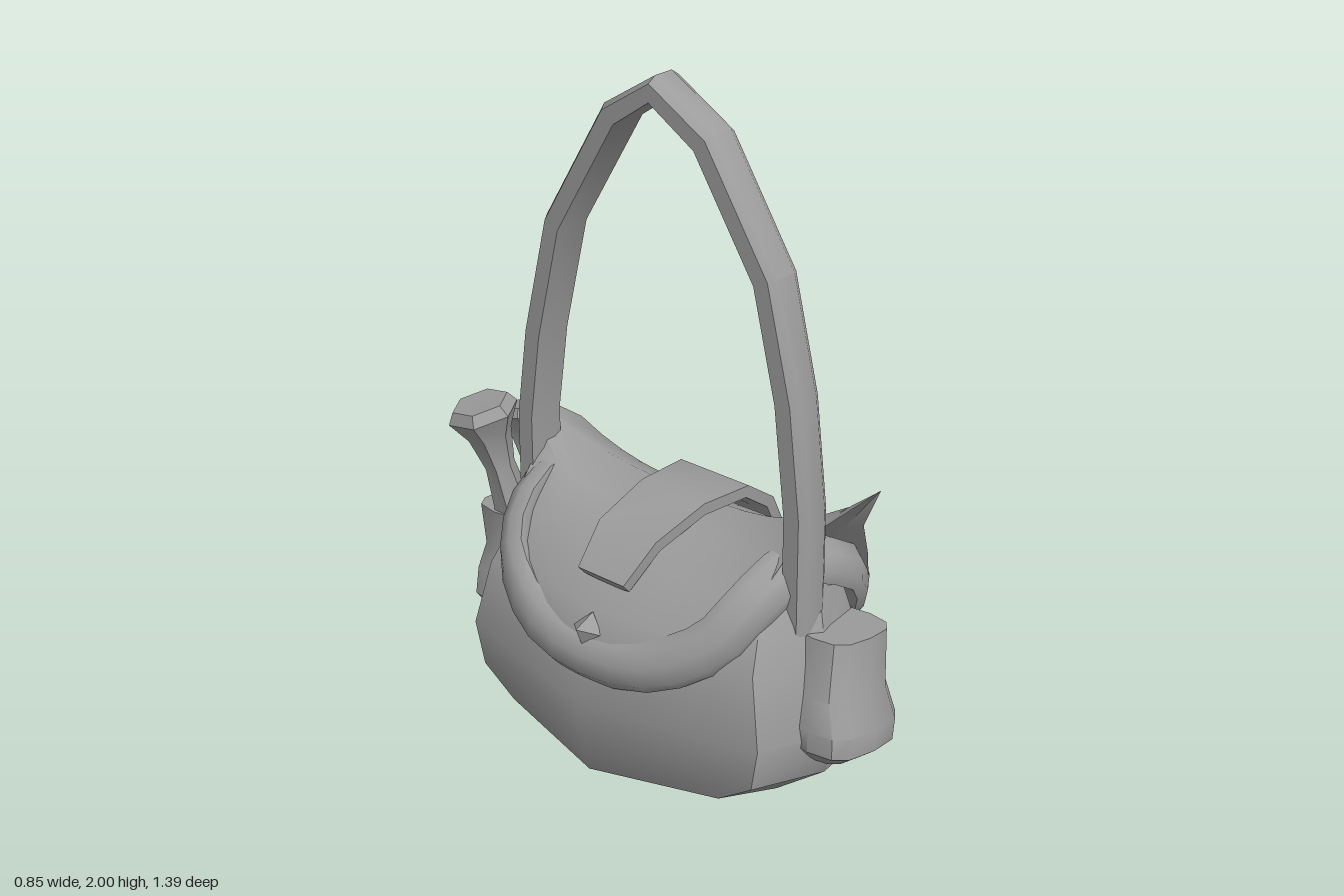
import * as THREE from 'three';
import { toCreasedNormals } from 'three/addons/utils/BufferGeometryUtils.js';

const grey = new THREE.MeshStandardMaterial({ color: 0x9c9c9c, side: THREE.DoubleSide });
grey.name = 'plain grey';

// Skin a list of equal-length cross-sections, optionally closed and capped
function loft(rings, closed = true, crease = 0.7) {
  const n = rings[0].length, pos = rings.flat().flatMap((p) => [p.x, p.y, p.z]), idx = [];
  const steps = closed ? n : n - 1;
  for (let i = 0; i < rings.length - 1; i++) {
    for (let j = 0; j < steps; j++) {
      const a = i * n + j, b = i * n + ((j + 1) % n);
      idx.push(a, a + n, b, b, a + n, b + n);
    }
  }
  if (closed) {
    [0, rings.length - 1].forEach((r, end) => {
      const c = pos.length / 3, m = new THREE.Vector3();
      rings[r].forEach((p) => m.addScaledVector(p, 1 / n));
      pos.push(m.x, m.y, m.z);
      for (let j = 0; j < n; j++) {
        const a = r * n + j, b = r * n + ((j + 1) % n);
        if (end) idx.push(c, b, a); else idx.push(c, a, b);
      }
    });
  }
  const g = new THREE.BufferGeometry();
  g.setAttribute('position', new THREE.Float32BufferAttribute(pos, 3));
  g.setIndex(idx);
  return toCreasedNormals(g, crease);
}

// Body plan, seen from above, in half-size units
const bodyHalf = [[1, 0.2], [0.9, 0.68], [0.55, 0.9], [-0.05, 1], [-0.65, 0.85]];
const bodyPlan = [...bodyHalf, [-1, 0], ...bodyHalf.slice().reverse().map(([x, z]) => [x, -z])];

// Rounded-box plan for the pouches
const pouchPlan = Array.from({ length: 12 }, (_, j) => {
  const a = (j / 12) * Math.PI * 2;
  return [Math.cos(a), Math.sin(a)].map((v) => Math.sign(v) * Math.abs(v) ** 0.65);
});

// Place a plan at a centre and size; height may vary over it
const outline = (plan, cx, cz, hx, hz, yAt) => plan.map(([u, v]) => {
  const x = cx + hx * u, z = cz + hz * v;
  return new THREE.Vector3(x, yAt(x, z), z);
});

// Strap of given half-widths, bulging slightly in the middle
function ribbon(points, side, widths, thick) {
  return loft(points.map((p, i) => {
    const t = points[Math.min(i + 1, points.length - 1)].clone().sub(points[Math.max(i - 1, 0)]).normalize();
    const out = side.clone().cross(t).normalize();
    const w = widths[i];
    return [[-1, -0.5], [-1, 0.25], [-0.55, 0.5], [0.55, 0.5], [1, 0.25], [1, -0.5]].map(([s, o]) =>
      p.clone().addScaledVector(side, s * w).addScaledVector(out, o * thick));
  }), true, 0.6);
}

export function createModel() {
  const group = new THREE.Group();
  const add = (name, geometry) => {
    const mesh = new THREE.Mesh(geometry, grey);
    mesh.name = name;
    group.add(mesh);
    return mesh;
  };

  // Bag body: y, front x, back x, half length, backward tilt, rise towards the ends
  const bodyRows = [
    [0.025, 0.15, -0.38, 0.44, 0.21, 0.3],
    [0.11, 0.245, -0.4, 0.57, 0.12, 0.25],
    [0.34, 0.3, -0.42, 0.6, 0.03, 0],
    [0.55, 0.27, -0.38, 0.55, 0, 0],
    [0.69, 0.2, -0.26, 0.5, 0, 0.1],
    [0.73, 0.1, -0.16, 0.45, 0, 0.3],
  ];
  add('bagBody', loft(bodyRows.map(([y, f, b, hz, tilt, rise]) =>
    outline(bodyPlan, (f + b) / 2, 0, (f - b) / 2, hz, (x, z) => y + tilt * (f - x) + rise * z * z))));

  // Draped flap with raised corners: x, y, half width, end lift
  const flapRows = [
    [-0.405, 0.46, 0.26, 0.05],
    [-0.395, 0.54, 0.34, 0.04],
    [-0.345, 0.61, 0.4, 0.02],
    [-0.24, 0.72, 0.43, 0.02],
    [-0.1, 0.78, 0.45, 0.07],
    [0.06, 0.79, 0.555, 0.17],
    [0.16, 0.74, 0.5, 0.1],
    [0.235, 0.66, 0.47, 0.06],
    [0.275, 0.56, 0.45, 0.04],
    [0.315, 0.47, 0.39, 0.04],
    [0.325, 0.4, 0.32, 0.05],
    [0.3, 0.36, 0.26, 0.05],
  ];
  add('flap', loft(flapRows.map(([x, y, w, lift]) =>
    Array.from({ length: 15 }, (_, j) => {
      const t = j / 7 - 1;
      const shift = lift > 0.1 ? 0.08 * t ** 3 : 0;
      return new THREE.Vector3(x * (1 - 0.16 * t * t) + shift, y + lift * Math.abs(t) ** 3, w * t);
    })), false, 0.8));

  // Broad rolled border around the flap: flattened section swept along its edge
  const rollHalf = [
    [0.285, 0.43, 0.19], [0.25, 0.535, 0.36], [0.17, 0.68, 0.435], [-0.03, 0.775, 0.43],
    [-0.19, 0.72, 0.41], [-0.285, 0.61, 0.35], [-0.355, 0.52, 0.2],
  ];
  const rollPath = [[0.295, 0.41, 0], ...rollHalf, [-0.375, 0.49, 0],
    ...rollHalf.slice().reverse().map(([x, y, z]) => [x, y, -z])];
  const rollCurve = new THREE.CatmullRomCurve3(rollPath.map((p) => new THREE.Vector3(...p)), true);
  const bagCentre = new THREE.Vector3(-0.03, 0.4, 0);
  add('rolledBorder', loft(Array.from({ length: 37 }, (_, i) => {
    const p = rollCurve.getPoint(i / 36), t = rollCurve.getTangent(i / 36);
    const out = p.clone().sub(bagCentre).projectOnPlane(t).normalize();
    const across = t.clone().cross(out);
    return Array.from({ length: 8 }, (_, j) => {
      const a = (j / 8) * Math.PI * 2;
      return p.clone().addScaledVector(out, 0.043 * Math.sin(a)).addScaledVector(across, 0.07 * Math.cos(a));
    });
  }), true, 1));

  // Tall carrying handle
  const handlePath = [
    [0.48, 0.62], [0.48, 0.95], [0.445, 1.25], [0.37, 1.555], [0.17, 1.865], [0, 1.965],
    [-0.145, 1.87], [-0.35, 1.53], [-0.43, 1.2], [-0.465, 0.95], [-0.465, 0.68],
  ].map(([z, y]) => new THREE.Vector3(-0.075, y, z));
  add('handle', ribbon(handlePath, new THREE.Vector3(1, 0, 0), handlePath.map(() => 0.055), 0.065));

  // Closing strap over the flap, and its tail tucked under the bag
  const strap = (name, path, widths) => add(name, ribbon(
    path.map(([x, y]) => new THREE.Vector3(x, y, 0)), new THREE.Vector3(0, 0, 1), widths, -0.045));
  strap('closingStrap', [
    [-0.31, 0.68], [-0.21, 0.77], [-0.04, 0.815], [0.12, 0.81], [0.22, 0.74], [0.29, 0.61], [0.335, 0.47], [0.34, 0.3],
  ], [0.08, 0.1, 0.11, 0.12, 0.115, 0.105, 0.085, 0.08]);
  strap('strapTail', [[0.29, 0.3], [0.265, 0.11], [0.16, 0.02], [0.05, 0.05]], [0.08, 0.11, 0.1, 0.06]);

  // Pointed studs: x, y, tilt, size
  [[0.29, 0.645, 0.5, 0.055], [0.36, 0.45, 0.05, 0.067], [-0.375, 0.56, -0.4, 0.05]].forEach(([x, y, tilt, size]) => {
    const stud = add('stud', new THREE.OctahedronGeometry(size));
    stud.position.set(x, y, 0);
    stud.rotation.z = tilt;
  });

  // Clasp: winged plate with hanging chevrons
  const plate = (name, half, x, y, tilt, depth) => {
    const pts = [...half, ...half.slice().reverse().map(([s, h]) => [-s, h])];
    const shape = new THREE.Shape(pts.map(([s, h]) => new THREE.Vector2(s, h)));
    const geometry = new THREE.ExtrudeGeometry(shape, { depth, bevelEnabled: false });
    geometry.rotateY(Math.PI / 2);
    const mesh = add(name, geometry);
    mesh.position.set(x, y, 0);
    mesh.rotation.z = tilt;
  };
  plate('claspWings', [[0.02, 0.0], [0.09, 0.03], [0.23, 0.04], [0.17, -0.02], [0.19, -0.07], [0.1, -0.1], [0.01, -0.16]],
    0.28, 0.34, 0.45, 0.035);
  const chevron = [[0.01, 0.0], [0.1, 0.04], [0.11, -0.01], [0.08, -0.06], [0.01, -0.1]];
  [[0.32, 0.25, 0.4], [0.315, 0.2, 0.3], [0.3, 0.145, 0.15]].forEach(([x, y, tilt]) =>
    plate('claspChevron', chevron, x, y, tilt, 0.035));

  // Side pouches: y, centre x, distance out, half width, half depth
  const pouch = (name, rows, side) => add(name, loft(rows.map(([y, cx, cz, hx, hz]) =>
    outline(pouchPlan, cx, side * cz, hx, hz, (x) => y - 0.12 * (x - cx)))));
  pouch('frontPouch', [
    [0.27, -0.03, 0.55, 0.1, 0.08], [0.32, -0.04, 0.58, 0.14, 0.11], [0.38, -0.035, 0.58, 0.145, 0.11],
    [0.46, -0.02, 0.55, 0.13, 0.1], [0.61, 0.01, 0.535, 0.12, 0.095],
  ], 1);
  pouch('backPouch', [
    [0.28, -0.03, 0.53, 0.12, 0.08], [0.34, -0.03, 0.56, 0.16, 0.105], [0.42, -0.03, 0.56, 0.15, 0.1],
    [0.5, -0.02, 0.55, 0.14, 0.09], [0.62, -0.02, 0.55, 0.15, 0.1],
  ], -1);

  // Flared vials standing in the back pouch
  const vial = (base, top, r) => {
    const a = new THREE.Vector3(...base), dir = new THREE.Vector3(...top).sub(a), h = dir.length();
    const profile = [[0.6, 0], [0.42, 0.5], [0.62, 0.75], [1, 0.92], [0.8, 1], [0.001, 0.99]];
    const lathe = new THREE.LatheGeometry(profile.map(([x, y]) => new THREE.Vector2(x * r, y * h)), 6);
    const mesh = add('vial', toCreasedNormals(lathe, 0.3));
    mesh.position.copy(a);
    mesh.quaternion.setFromUnitVectors(new THREE.Vector3(0, 1, 0), dir.normalize());
  };
  vial([-0.1, 0.58, -0.52], [-0.17, 0.96, -0.59], 0.1);
  vial([0.01, 0.58, -0.54], [0.03, 0.88, -0.62], 0.085);
  vial([0.1, 0.5, -0.54], [0.135, 0.735, -0.555], 0.075);

  return group;
}
